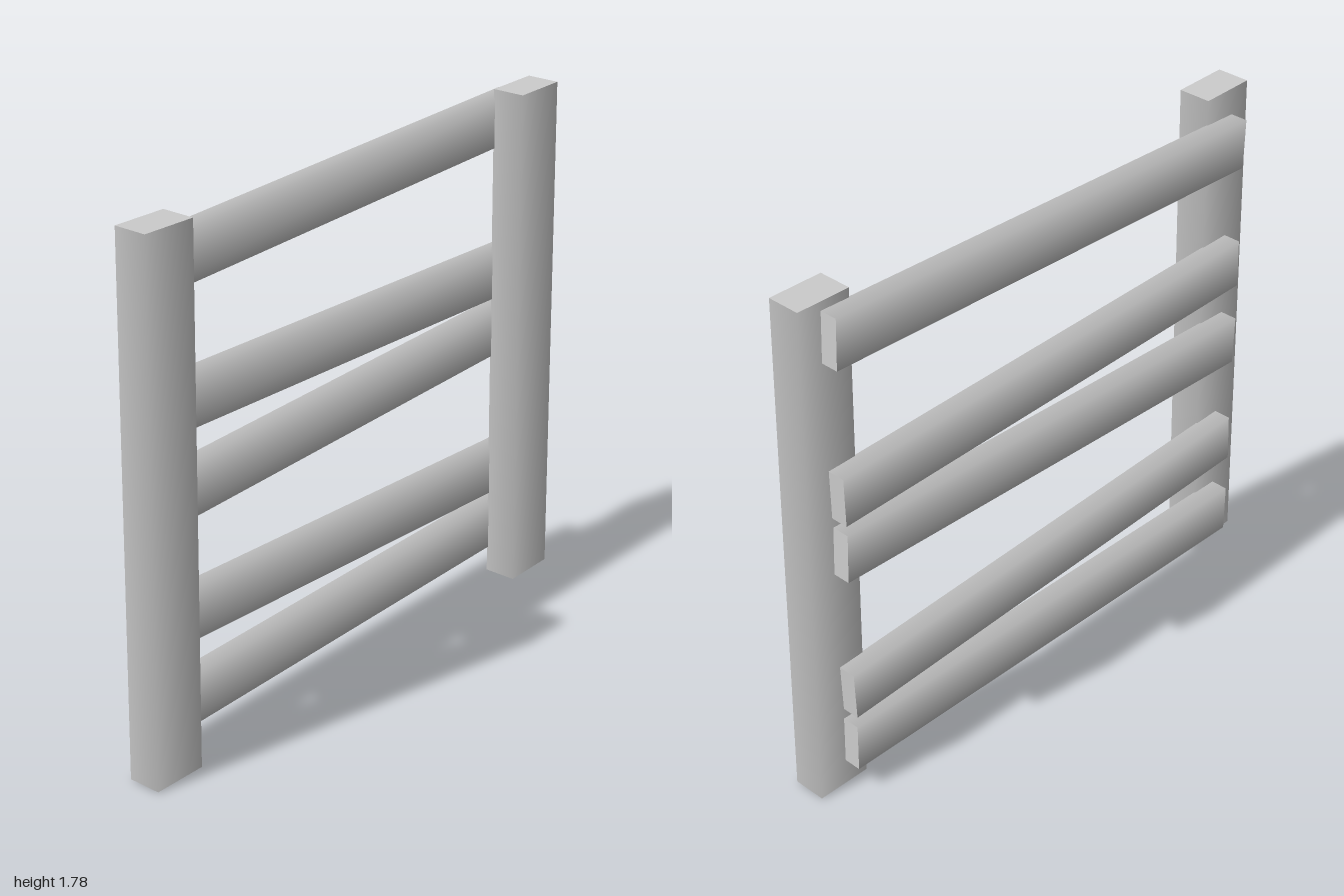
import * as THREE from 'three';

const material = new THREE.MeshStandardMaterial({ color: 0xcccccc });

// Squared timber running along one axis ('x' or 'y'): the four long faces
// share smooth normals, the two cut ends stay flat.
function timber(name, w, h, d, axis) {
  const geo = new THREE.BoxGeometry(w, h, d);
  const pos = geo.attributes.position;
  const nor = geo.attributes.normal;
  const n = new THREE.Vector3();
  const p = new THREE.Vector3();
  for (let i = 0; i < pos.count; i++) {
    n.fromBufferAttribute(nor, i);
    if (Math.abs(n[axis]) > 0.5) continue;
    p.fromBufferAttribute(pos, i);
    n.set(Math.sign(p.x), Math.sign(p.y), Math.sign(p.z));
    n[axis] = 0;
    n.normalize();
    nor.setXYZ(i, n.x, n.y, n.z);
  }
  const mesh = new THREE.Mesh(geo, material);
  mesh.name = name;
  return mesh;
}

export function createModel() {
  const fence = new THREE.Group();
  fence.name = 'fence';

  // Two posts leaning slightly towards each other
  for (const side of [-1, 1]) {
    const post = timber(side > 0 ? 'leftPost' : 'rightPost', 0.193, 1.777, 0.115, 'y');
    post.position.set(side * 0.888, 0.89, 0.0305);
    post.rotation.z = side * 0.0155;
    fence.add(post);
  }

  // Crooked rails fixed to the back of the posts: [centre height, slope]
  const rails = [
    [0.163, 0.0178],
    [0.42, -0.036],
    [0.886, 0.0355],
    [1.139, -0.0185],
    [1.632, 0.0355],
  ];
  rails.forEach(([y, slope], i) => {
    const rail = timber(`rail${i + 1}`, 1.787, 0.17, 0.065, 'x');
    rail.position.set(-0.004, y, -0.0555);
    rail.rotation.z = Math.atan(slope);
    fence.add(rail);
  });

  return fence;
}
